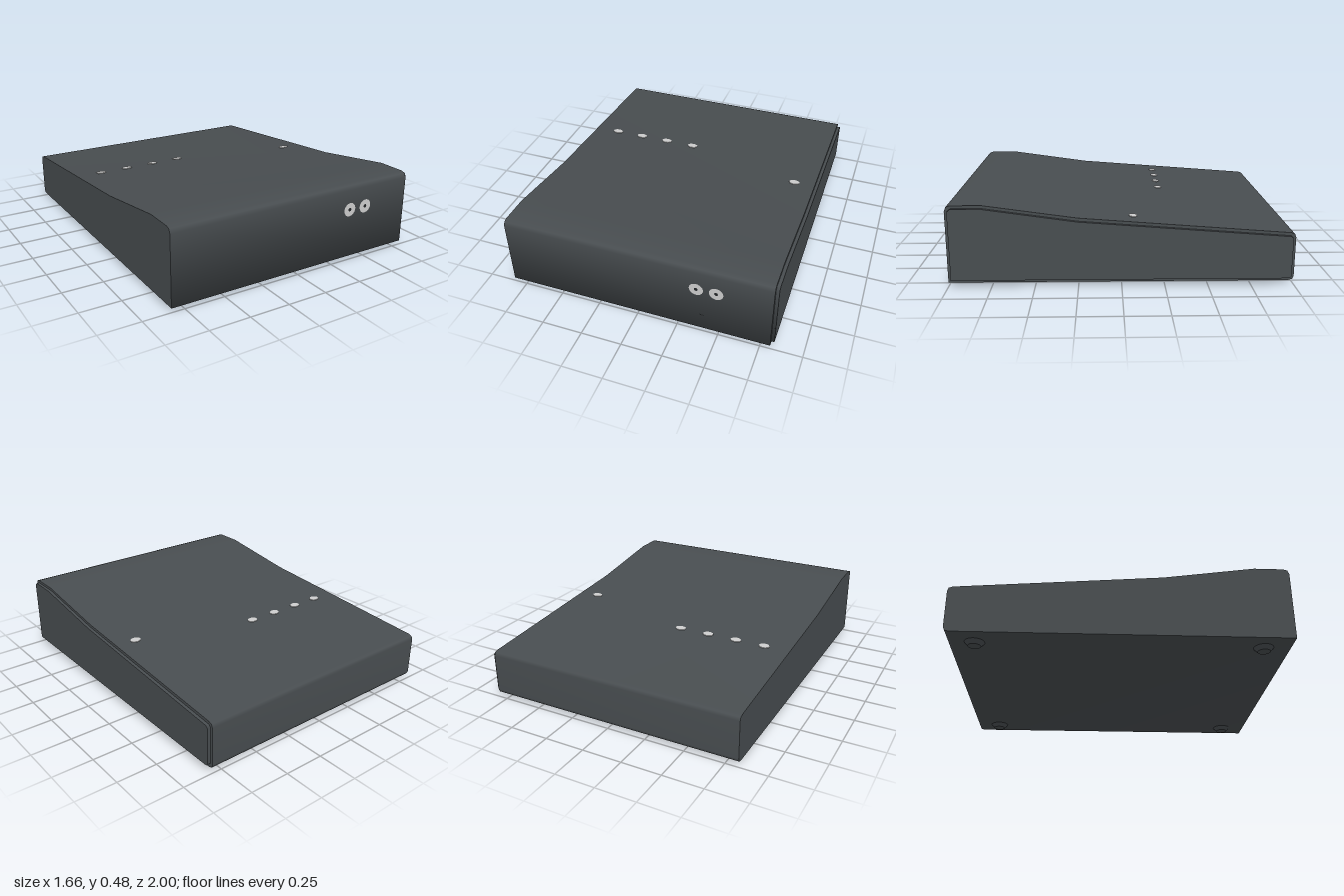
import * as THREE from 'three';

const paint = (name, color) => {
  const m = new THREE.MeshStandardMaterial({ color });
  m.name = name;
  return m;
};

export function createModel() {
  const model = new THREE.Group();
  const casing = paint('charcoal casing', 0x484d50);
  const metal = paint('pale metal', 0xcccccc);
  const dark = paint('dark socket', 0x222426);
  const add = (name, geometry, material, x = 0, y = 0, z = 0) => {
    const mesh = new THREE.Mesh(geometry, material);
    mesh.name = name;
    mesh.position.set(x, y, z);
    model.add(mesh);
    return mesh;
  };

  // Side outlines as [z, y], from the front bottom corner round the back
  const outer = [[1, 0.025], [-0.97, 0.025], [-0.992, 0.032], [-1, 0.052], [-1, 0.285], [-0.992, 0.305], [-0.97, 0.313],
    [0.25, 0.407], [0.79, 0.483], [0.965, 0.483], [0.99, 0.475], [1, 0.45]];
  const inner = [[0.982, 0.043], [-0.97, 0.043], [-0.982, 0.055], [-0.982, 0.283], [-0.97, 0.295],
    [0.25, 0.389], [0.79, 0.466], [0.965, 0.466], [0.982, 0.45]];

  // Smooth skin running across the width, following an outline
  const skin = (outline, x0, x1) => {
    const position = [], index = [], n = outline.length;
    outline.forEach(([z, y], i) => {
      position.push(x0, y, z, x1, y, z);
      const a = 2 * i, b = 2 * ((i + 1) % n);
      index.push(a, b + 1, a + 1, a, b, b + 1);
    });
    const g = new THREE.BufferGeometry();
    g.setAttribute('position', new THREE.Float32BufferAttribute(position, 3));
    g.setIndex(index);
    g.computeVertexNormals();
    return g;
  };

  // Flat end closing an outline; dir is +1 or -1 along x
  const end = (outline, dir) => new THREE.ShapeGeometry(
    new THREE.Shape(outline.map(([z, y]) => new THREE.Vector2(-dir * z, y)))
  ).rotateY(dir * Math.PI / 2);

  // Wedge casing and the raised side panel
  add('casingShell', skin(outer, -0.83, 0.81), casing);
  add('rightSideWall', end(outer, -1), casing, -0.83);
  add('leftSideWall', end(outer, 1), casing, 0.81);
  add('sidePanelRim', skin(inner, 0.81, 0.83), casing);
  add('sidePanelFace', end(inner, 1), casing, 0.83);

  // Tapered feet
  for (const x of [-0.695, 0.695]) {
    for (const z of [-0.84, 0.84]) {
      add('foot', new THREE.CylinderGeometry(0.06, 0.038, 0.026, 20), casing, x, 0.013, z);
    }
  }

  // Indicator lights lying on the sloping top
  const slope = Math.atan2(0.094, 1.22);
  for (const [x, z] of [[-0.667, -0.27], [-0.48, -0.27], [-0.29, -0.27], [-0.097, -0.27], [0.677, -0.068]]) {
    const light = add('indicatorLight', new THREE.CylinderGeometry(0.034, 0.034, 0.008, 16), metal,
      x, 0.407 + (z - 0.25) * Math.tan(slope), z);
    light.scale.z = 0.72;
    light.rotation.x = -slope;
  }

  // Front sockets
  for (const x of [0.367, 0.485]) {
    add('socketRing', new THREE.RingGeometry(0.011, 0.042, 24), metal, x, 0.33, 1.004);
    add('socketHole', new THREE.CircleGeometry(0.011, 12), dark, x, 0.33, 1.003);
  }
  return model;
}
